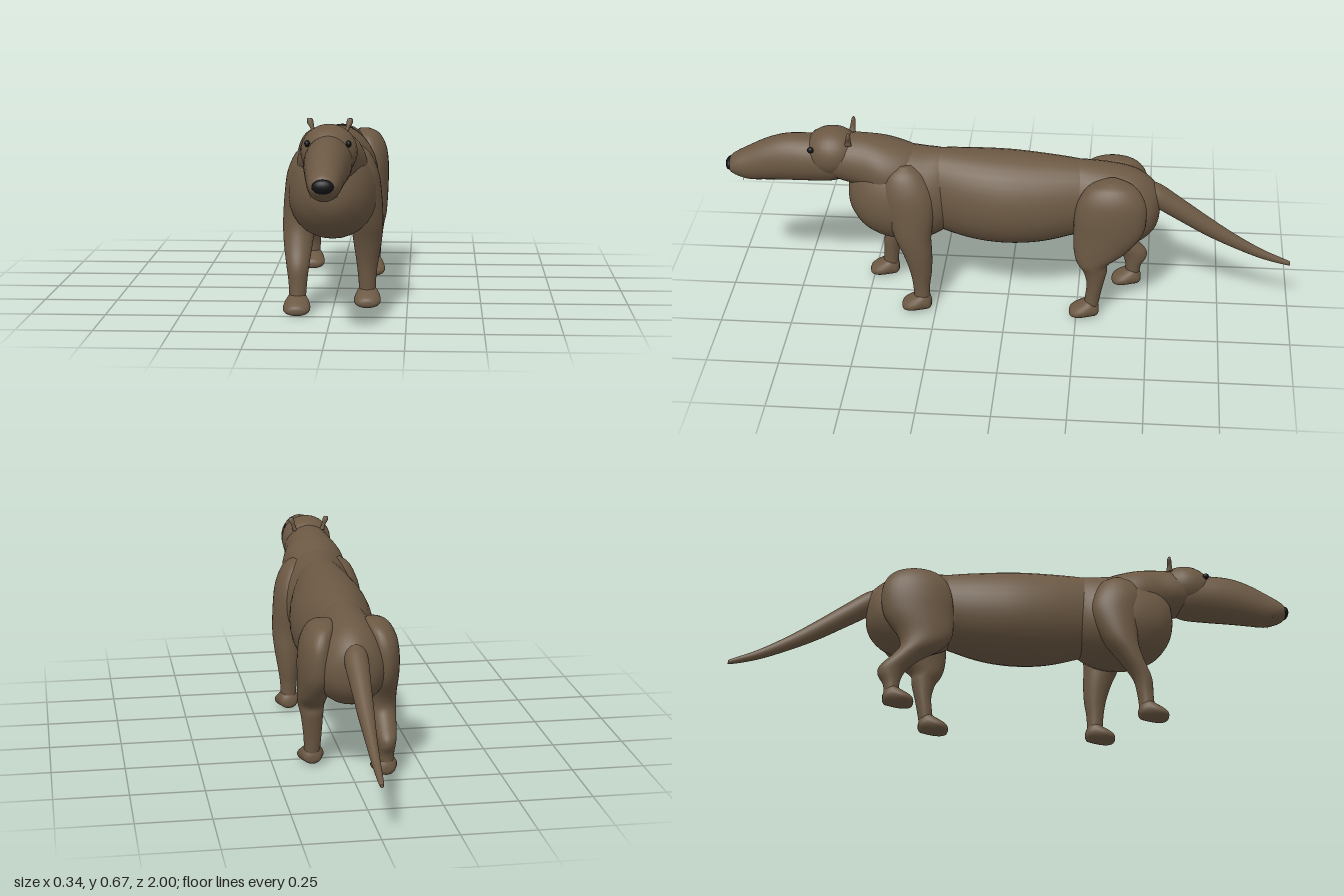
import * as THREE from 'three';

const fur = new THREE.MeshStandardMaterial({ color: 0x6b5843 });
fur.name = 'brownFur';
const black = new THREE.MeshStandardMaterial({ color: 0x111315 });
black.name = 'black';
const ivory = new THREE.MeshStandardMaterial({ color: 0x9a8a68 });
ivory.name = 'ivory';

// Smooth loft through elliptical rings [t, x0, x1, b0, b1], t ascending.
// axis 'z': t = z, b = y.  axis 'y': t = y, b = z.  egg > 0 makes the lower half wider.
function loft(name, axis, rings, egg = 0, segs = 32, steps = 5) {
  const cr = (a, b, c, d, u) => 0.5 * (2 * b + (c - a) * u + (2 * a - 5 * b + 4 * c - d) * u * u
    + (3 * b - a - 3 * c + d) * u * u * u);
  const n = rings.length, rows = [];
  for (let i = 0; i < n - 1; i++) {
    const p = [Math.max(i - 1, 0), i, i + 1, Math.min(i + 2, n - 1)].map(k => rings[k]);
    for (let s = 0; s < steps; s++) rows.push(p[1].map((_, k) => cr(p[0][k], p[1][k], p[2][k], p[3][k], s / steps)));
  }
  rows.push(rings[n - 1]);
  const pos = [], idx = [];
  const put = (x, b, t) => (axis === 'z' ? pos.push(x, b, t) : pos.push(x, t, b));
  for (const [t, x0, x1, b0, b1] of rows) {
    for (let j = 0; j < segs; j++) {
      const a = j / segs * Math.PI * 2, c = Math.cos(a), s = axis === 'z' ? Math.sin(a) : -Math.sin(a);
      put((x0 + x1) / 2 + (x1 - x0) / 2 * c * (1 - egg * s), (b0 + b1) / 2 + (b1 - b0) / 2 * s, t);
    }
  }
  for (let i = 0; i < rows.length - 1; i++) {
    for (let j = 0; j < segs; j++) {
      const a = i * segs + j, b = i * segs + (j + 1) % segs;
      idx.push(a, b, b + segs, a, b + segs, a + segs);
    }
  }
  // End caps
  [rows[0], rows[rows.length - 1]].forEach(([t, x0, x1, b0, b1], e) => {
    const c = pos.length / 3, o = e ? (rows.length - 1) * segs : 0;
    put((x0 + x1) / 2, (b0 + b1) / 2, t);
    for (let j = 0; j < segs; j++) {
      const a = o + j, b = o + (j + 1) % segs;
      if (e) idx.push(c, a, b); else idx.push(c, b, a);
    }
  });
  const g = new THREE.BufferGeometry();
  g.setAttribute('position', new THREE.Float32BufferAttribute(pos, 3));
  g.setIndex(idx);
  g.computeVertexNormals();
  const m = new THREE.Mesh(g, fur);
  m.name = name;
  return m;
}

// Symmetric loft along z from [z, halfWidth, bottom, top]
const trunk = (name, rows, egg) => loft(name, 'z', rows.map(([z, w, b, t]) => [z, -w, w, b, t]), egg);

// Loft along y from [y, inner x, outer x, back z, front z], on side s
const limb = (name, s, rows) => loft(name, 'y', rows.map(([y, i, o, b, f]) => s > 0 ? [y, i, o, b, f] : [y, -o, -i, b, f]));

function ball(name, mat, x, y, z, rx, ry, rz) {
  const m = new THREE.Mesh(new THREE.SphereGeometry(1, 24, 16), mat);
  m.name = name;
  m.position.set(x, y, z);
  m.scale.set(rx, ry, rz);
  return m;
}

// Paw with its heel at z and a low toe in front
function paw(name, s, z) {
  const x = 0.115 * s;
  return loft(name, 'z', [
    [z, -0.012, 0.012, 0.02, 0.04], [z + 0.008, -0.028, 0.028, 0.009, 0.06], [z + 0.03, -0.038, 0.038, 0.004, 0.078],
    [z + 0.06, -0.045, 0.045, 0.002, 0.062], [z + 0.085, -0.042, 0.042, 0.003, 0.047],
    [z + 0.1, -0.028, 0.028, 0.007, 0.036], [z + 0.105, -0.008, 0.008, 0.014, 0.026],
  ].map(([t, a, b, c, d]) => [t, x + a, x + b, c, d]), 0.12, 24, 4);
}

export function createModel() {
  const g = new THREE.Group();
  g.name = 'animal';

  // Trunk
  g.add(trunk('barrel', [
    [-0.36, 0.08, 0.32, 0.54], [-0.24, 0.108, 0.282, 0.562], [-0.12, 0.132, 0.25, 0.575], [0, 0.143, 0.24, 0.584],
    [0.12, 0.132, 0.25, 0.587], [0.24, 0.104, 0.282, 0.587], [0.34, 0.08, 0.32, 0.58],
  ], 0.04));
  g.add(trunk('chest', [
    [0.17, 0.06, 0.34, 0.54], [0.22, 0.105, 0.285, 0.583], [0.29, 0.135, 0.252, 0.59], [0.37, 0.146, 0.245, 0.596],
    [0.44, 0.138, 0.257, 0.59], [0.5, 0.115, 0.288, 0.57], [0.54, 0.08, 0.335, 0.53],
    [0.557, 0.045, 0.375, 0.48], [0.562, 0.01, 0.42, 0.44],
  ], 0.14));
  g.add(trunk('neck', [
    [0.28, 0.06, 0.4, 0.575], [0.35, 0.105, 0.4, 0.6], [0.43, 0.115, 0.415, 0.622], [0.51, 0.095, 0.445, 0.633],
    [0.58, 0.086, 0.465, 0.632], [0.64, 0.07, 0.48, 0.62],
  ], 0.1));
  g.add(trunk('pelvis', [
    [-0.532, 0.01, 0.38, 0.41], [-0.525, 0.045, 0.335, 0.46], [-0.5, 0.085, 0.295, 0.495], [-0.45, 0.115, 0.26, 0.53],
    [-0.38, 0.125, 0.25, 0.549], [-0.3, 0.12, 0.262, 0.558], [-0.23, 0.1, 0.29, 0.56], [-0.19, 0.06, 0.34, 0.53],
  ], 0.1));

  // Tail
  g.add(trunk('tail', [
    [-0.998, 0.003, 0.178, 0.184], [-0.99, 0.008, 0.174, 0.192], [-0.9, 0.014, 0.197, 0.232], [-0.8, 0.02, 0.237, 0.29],
    [-0.7, 0.028, 0.285, 0.358], [-0.6, 0.035, 0.343, 0.43], [-0.53, 0.04, 0.385, 0.478],
    [-0.49, 0.035, 0.41, 0.485], [-0.45, 0.01, 0.44, 0.46],
  ]));

  // Head
  g.add(ball('skull', fur, 0, 0.567, 0.615, 0.092, 0.088, 0.1));
  g.add(trunk('snout', [
    [0.56, 0.05, 0.48, 0.6], [0.61, 0.075, 0.458, 0.62], [0.7, 0.077, 0.453, 0.625], [0.78, 0.071, 0.451, 0.622],
    [0.85, 0.063, 0.448, 0.602], [0.91, 0.055, 0.446, 0.572], [0.95, 0.048, 0.457, 0.55],
    [0.975, 0.038, 0.47, 0.533], [0.986, 0.02, 0.482, 0.517],
  ], 0.04));
  g.add(ball('nose', black, 0, 0.502, 0.981, 0.034, 0.023, 0.017));
  for (const s of [1, -1]) {
    g.add(ball('eye', black, s * 0.066, 0.599, 0.682, 0.009, 0.011, 0.011));
    g.add(limb('ear', s, [
      [0.615, 0.042, 0.06, 0.54, 0.565], [0.635, 0.05, 0.064, 0.542, 0.56],
      [0.652, 0.053, 0.074, 0.541, 0.557], [0.664, 0.056, 0.074, 0.544, 0.554], [0.667, 0.062, 0.07, 0.547, 0.551],
    ]));
    const fang = new THREE.Mesh(new THREE.ConeGeometry(0.004, 0.03, 8), ivory);
    fang.name = 'fang';
    fang.position.set(s * 0.041, 0.472, 0.93);
    fang.rotation.x = Math.PI;
    g.add(fang);
  }

  // Front legs: left planted back, right stepping forward
  const shoulder = [
    [0.4, 0.05, 0.163, 0.25, 0.42], [0.47, 0.05, 0.152, 0.26, 0.43],
    [0.53, 0.04, 0.125, 0.29, 0.42], [0.56, 0.04, 0.09, 0.33, 0.38],
  ];
  g.add(limb('leftFrontLeg', 1, [
    [0.03, 0.088, 0.142, 0.272, 0.325], [0.1, 0.083, 0.144, 0.27, 0.33], [0.16, 0.076, 0.152, 0.262, 0.34],
    [0.23, 0.066, 0.163, 0.26, 0.362], [0.3, 0.058, 0.168, 0.262, 0.392], ...shoulder,
  ]));
  g.add(limb('rightFrontLeg', -1, [
    [0.03, 0.088, 0.142, 0.415, 0.468], [0.1, 0.083, 0.144, 0.408, 0.464], [0.16, 0.076, 0.152, 0.393, 0.46],
    [0.23, 0.066, 0.163, 0.345, 0.432], [0.3, 0.058, 0.168, 0.29, 0.415], ...shoulder,
  ]));
  g.add(paw('leftFrontPaw', 1, 0.265), paw('rightFrontPaw', -1, 0.41));

  // Hind legs: left planted forward, right bent back
  const thigh = [
    [0.34, 0.05, 0.171, -0.475, -0.235], [0.41, 0.05, 0.171, -0.487, -0.238],
    [0.47, 0.05, 0.162, -0.478, -0.252], [0.515, 0.05, 0.138, -0.445, -0.285], [0.535, 0.06, 0.105, -0.39, -0.34],
  ];
  g.add(limb('leftHindLeg', 1, [
    [0.03, 0.09, 0.142, -0.325, -0.275], [0.09, 0.085, 0.144, -0.335, -0.282], [0.14, 0.082, 0.149, -0.345, -0.285],
    [0.19, 0.078, 0.156, -0.356, -0.272], [0.225, 0.072, 0.164, -0.362, -0.25],
    [0.27, 0.064, 0.168, -0.42, -0.238], ...thigh,
  ]));
  g.add(limb('rightHindLeg', -1, [
    [0.03, 0.09, 0.142, -0.468, -0.418], [0.08, 0.087, 0.143, -0.473, -0.418], [0.115, 0.085, 0.147, -0.492, -0.408],
    [0.145, 0.082, 0.152, -0.488, -0.388], [0.185, 0.078, 0.158, -0.45, -0.34],
    [0.225, 0.07, 0.166, -0.42, -0.275], [0.27, 0.064, 0.168, -0.43, -0.24], ...thigh,
  ]));
  g.add(paw('leftHindPaw', 1, -0.33), paw('rightHindPaw', -1, -0.474));
  return g;
}
